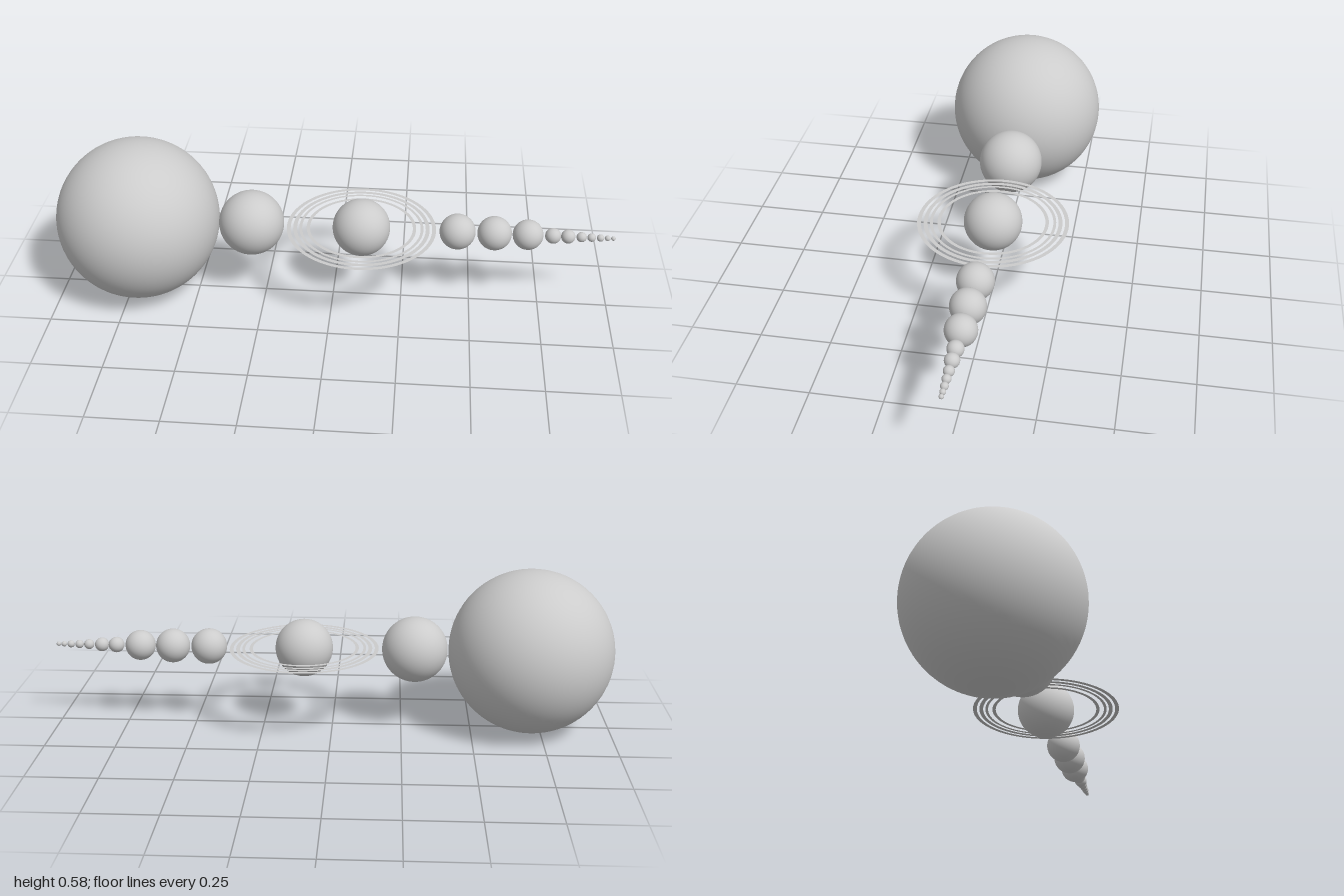
import * as THREE from 'three';

const AXIS_Y = 0.2925;
const material = new THREE.MeshStandardMaterial({ color: 0xcccccc });
const ringMaterial = new THREE.MeshStandardMaterial({ color: 0xcccccc, side: THREE.DoubleSide });

// Row of globes, largest to smallest: name, centre x, radius
const globes = [
  ['star', -0.7075, 0.2925],
  ['giantPlanet', -0.295, 0.117],
  ['ringedPlanet', 0.101, 0.103],
  ['icePlanetA', 0.444, 0.064],
  ['icePlanetB', 0.575, 0.061],
  ['icePlanetC', 0.693, 0.054],
  ['rockyPlanetA', 0.781, 0.028],
  ['rockyPlanetB', 0.834, 0.025],
  ['rockyPlanetC', 0.881, 0.018],
  ['moonA', 0.916, 0.015],
  ['moonB', 0.947, 0.013],
  ['moonC', 0.972, 0.010],
  ['moonD', 0.992, 0.008],
];

// Flat ring bands: inner and outer radius
const bands = [[0.184, 0.196], [0.212, 0.222], [0.23, 0.244], [0.253, 0.267]];

export function createModel() {
  const model = new THREE.Group();
  model.name = 'planetRow';

  for (const [name, x, radius] of globes) {
    const globe = new THREE.Mesh(new THREE.SphereGeometry(radius, 64, 40), material);
    globe.name = name;
    globe.position.set(x, AXIS_Y, 0);
    model.add(globe);
  }

  // Concentric rings lying level around the third globe
  const rings = new THREE.Group();
  rings.name = 'planetRings';
  rings.position.set(0.101, AXIS_Y, 0);
  bands.forEach(([inner, outer], i) => {
    const ring = new THREE.Mesh(new THREE.RingGeometry(inner, outer, 96), ringMaterial);
    ring.name = `ring${i + 1}`;
    ring.rotation.x = -Math.PI / 2;
    rings.add(ring);
  });
  model.add(rings);

  return model;
}
